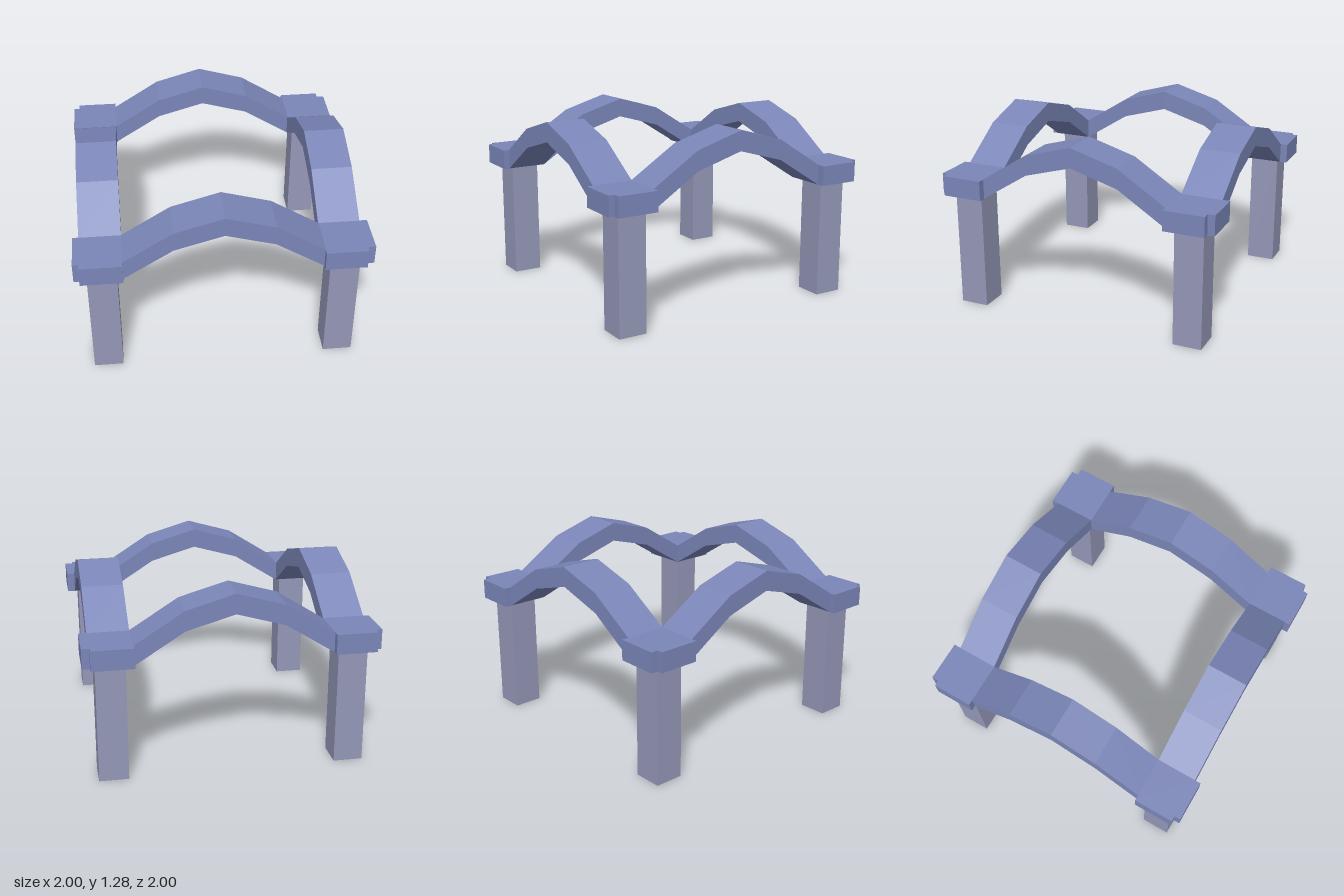
import * as THREE from 'three';

const LEG_HEIGHT = 0.83;
const BEAM_THICKNESS = 0.14;
const BEAM_WIDTH = 0.285;

export function createModel() {
  const group = new THREE.Group();
  const beamMaterial = new THREE.MeshStandardMaterial({ color: 0x7b86b8, flatShading: true });
  const legMaterial = new THREE.MeshStandardMaterial({ color: 0x9598b8, flatShading: true });

  // Underside of an arched beam: flat ends and a four-segment arch between them
  const underside = [
    [-1, 0.83], [-0.675, 0.83], [-0.34, 1.043], [-0.005, 1.14],
    [0.33, 1.043], [0.665, 0.83], [1, 0.83],
  ].map(([x, y]) => new THREE.Vector2(x, y));
  const topside = underside.map((p) => new THREE.Vector2(p.x, p.y + BEAM_THICKNESS)).reverse();
  const beamGeometry = new THREE.ExtrudeGeometry(new THREE.Shape([...underside, ...topside]), {
    depth: BEAM_WIDTH,
    bevelEnabled: false,
  });

  // Front and back beams run along x
  for (const [name, z] of [['backBeam', -0.95], ['frontBeam', 0.673]]) {
    const beam = new THREE.Mesh(beamGeometry, beamMaterial);
    beam.name = name;
    beam.position.z = z;
    group.add(beam);
  }

  // Side beams are the same arch turned to run along z
  for (const [name, x] of [['rightBeam', -0.96], ['leftBeam', 0.662]]) {
    const beam = new THREE.Mesh(beamGeometry, beamMaterial);
    beam.name = name;
    beam.rotation.y = Math.PI / 2;
    beam.position.x = x;
    group.add(beam);
  }

  // Square legs under the four corners
  const legGeometry = new THREE.BoxGeometry(0.202, LEG_HEIGHT, 0.202);
  for (const [side, x] of [['Right', -0.816], ['Left', 0.816]]) {
    for (const [end, z] of [['front', 0.816], ['back', -0.818]]) {
      const leg = new THREE.Mesh(legGeometry, legMaterial);
      leg.name = `${end}${side}Leg`;
      leg.position.set(x, LEG_HEIGHT / 2, z);
      group.add(leg);
    }
  }

  return group;
}
